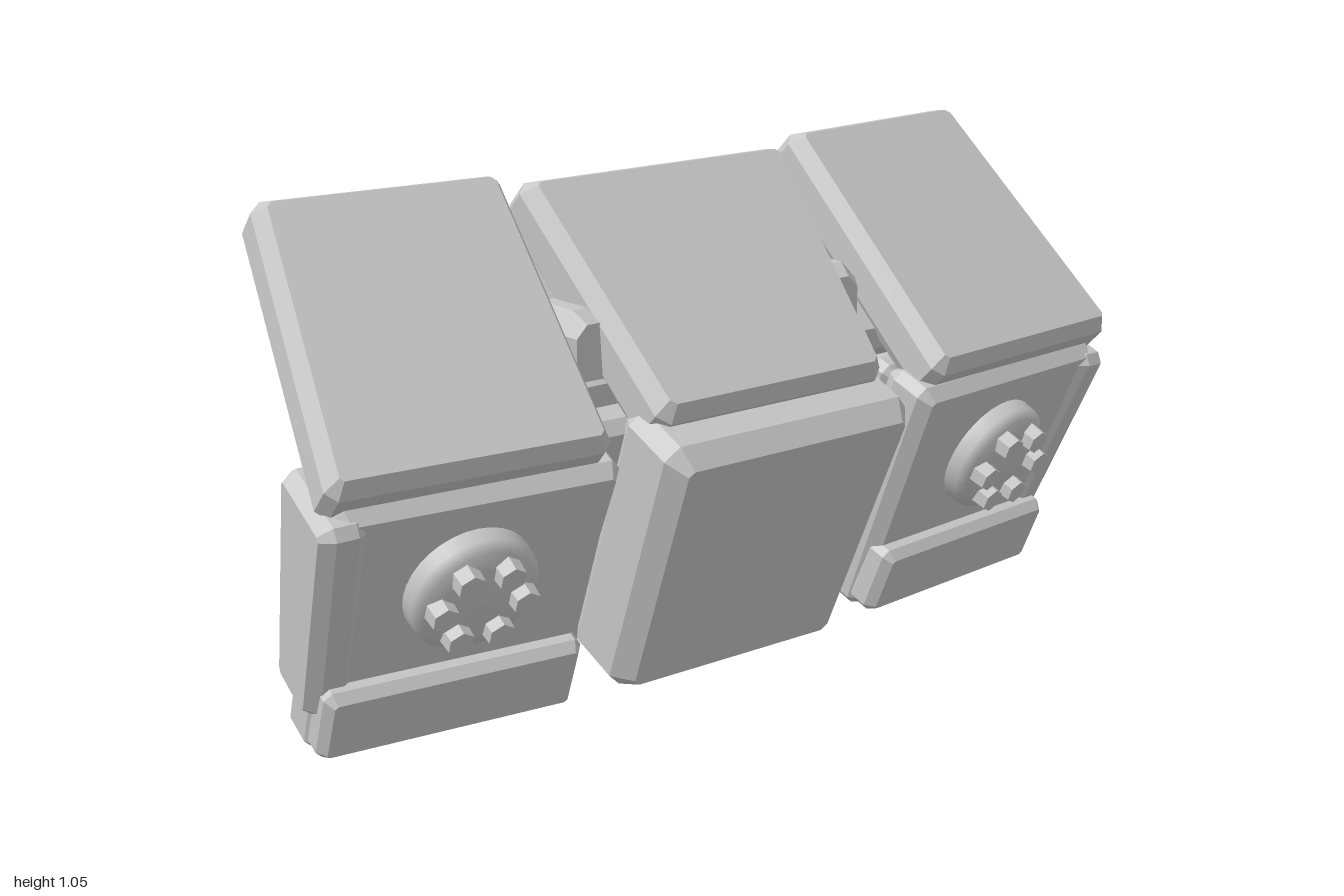
import * as THREE from 'three';

const grey = new THREE.MeshStandardMaterial({ color: 0xc6c6c6 });
grey.name = 'light grey';

const LEAN = 0.4;             // lower half leans forward
const FLAP_LEAN = -Math.PI / 4; // upper half leans backward

function add(parent, name, geometry) {
  const mesh = new THREE.Mesh(geometry, grey);
  mesh.name = name;
  parent.add(mesh);
  return mesh;
}

// Polygon with every corner cut off by c
function cutShape(points, c) {
  const v = points.map(([x, y]) => new THREE.Vector2(x, y));
  const out = [];
  v.forEach((p, i) => {
    for (const q of [v[(i + v.length - 1) % v.length], v[(i + 1) % v.length]]) {
      out.push(p.clone().add(q.clone().sub(p).setLength(c)));
    }
  });
  return new THREE.Shape(out);
}

// Chamfered slab: outline in x/y, running from z = lo to z = hi
function slab(points, lo, hi, bevel, cut = bevel * 0.7) {
  return new THREE.ExtrudeGeometry(cutShape(points, cut), {
    depth: hi - lo - 2 * bevel, bevelEnabled: true, bevelThickness: bevel,
    bevelSize: bevel * 0.7, bevelOffset: -bevel * 0.7, bevelSegments: 1,
  }).translate(0, 0, lo + bevel);
}

// Symmetric trapezoid outline
const trapezoid = (bottomHalf, topHalf, y0, y1) =>
  [[-bottomHalf, y0], [bottomHalf, y0], [topHalf, y1], [-topHalf, y1]];

// Outline given for the left side, mirrored for the right
const mirror = (points, s) => points.map(([x, y]) => [s * x, y]);

function sideBlock(s) {
  const g = new THREE.Group();
  g.name = s > 0 ? 'leftBlock' : 'rightBlock';
  g.position.x = s * 0.68;
  g.rotation.set(LEAN, s * 0.11, 0, 'YXZ');

  add(g, 'blockBody', slab(mirror([[-0.28, -0.008], [0.265, -0.008], [0.28, 0.59], [-0.315, 0.59]], s), -0.13, 0, 0.03));
  add(g, 'backPlate', slab(mirror([[-0.27, 0], [0.24, 0], [0.26, 0.57], [-0.3, 0.57]], s), -0.2, -0.12, 0.025));
  add(g, 'lowerBar', slab(mirror([[-0.285, 0.015], [0.265, 0.015], [0.265, 0.18], [-0.285, 0.18]], s), -0.04, 0.042, 0.022));

  // Tapered outer plate, extruded sideways
  const plate = slab([[-0.15, -0.24], [0.005, -0.24], [0.015, 0.24], [-0.2, 0.24]], -0.05, 0.05, 0.028);
  const outer = add(g, 'outerPlate', plate.rotateY(-Math.PI / 2).rotateZ(-s * 0.06));
  outer.position.set(s * 0.25, 0.335, 0);

  // Round hub with six hexagonal bolts
  const hub = new THREE.Group();
  hub.name = 'hub';
  hub.position.set(-s * 0.01, 0.376, 0.02);
  g.add(hub);
  const profile = [[0.135, -0.03], [0.132, 0.012], [0.115, 0.03], [0.08, 0.04], [0, 0.044]];
  add(hub, 'hubDisc', new THREE.LatheGeometry(profile.map(q => new THREE.Vector2(...q)), 32).rotateX(Math.PI / 2));
  for (let i = 0; i < 6; i++) {
    const t = i * Math.PI / 3;
    const bolt = add(hub, 'bolt', new THREE.CylinderGeometry(0.028, 0.031, 0.05, 6).toNonIndexed().rotateX(Math.PI / 2));
    bolt.geometry.computeVertexNormals();
    bolt.position.set(0.085 * Math.cos(t), 0.08 * Math.sin(t), 0.042);
  }

  // Half-sunk round studs on the back, upright while the block leans
  for (const y of [0.13, 0.47]) {
    const stud = add(g, 'backStud', new THREE.CylinderGeometry(0.07, 0.07, 0.05, 24).rotateX(Math.PI / 2 - LEAN));
    stud.position.set(s * 0.17, y, -0.178);
  }
  return g;
}

export function createModel() {
  const model = new THREE.Group();
  model.name = 'pouchBelt';

  // Lower half
  const lower = new THREE.Group();
  lower.name = 'lowerCentre';
  lower.rotation.x = LEAN;
  model.add(lower);
  add(lower, 'centreBlock', slab(trapezoid(0.29, 0.315, 0.012, 0.635), -0.13, 0.083, 0.045));
  add(lower, 'centreBackBlock', slab(trapezoid(0.41, 0.4, -0.005, 0.58), -0.278, -0.11, 0.028, 0.04));
  for (const s of [-1, 1]) model.add(sideBlock(s));

  // Upper half
  const upper = new THREE.Group();
  upper.name = 'upperCentre';
  upper.rotation.x = FLAP_LEAN;
  model.add(upper);
  add(upper, 'centreFlap', slab(trapezoid(0.29, 0.34, 0.26, 0.85), 0.48, 0.622, 0.035));
  add(upper, 'backPanel', slab(trapezoid(0.88, 0.84, 0.385, 0.865), 0.4, 0.51, 0.04, 0.06));
  for (const s of [-1, 1]) {
    const flap = add(model, s > 0 ? 'leftFlap' : 'rightFlap',
      slab(mirror([[-0.295, 0.25], [0.295, 0.25], [0.23, 0.895], [-0.295, 0.895]], s), 0.472, 0.604, 0.033));
    flap.position.x = s * 0.69;
    flap.rotation.set(FLAP_LEAN, s * 0.1, 0, 'YXZ');
  }

  // Hinge bar through the middle, with the web joining it to the lower half
  add(model, 'hingeBar', slab(trapezoid(0.39, 0.39, 0.59, 0.8), -0.165, 0.06, 0.035, 0.04));
  add(model, 'hingeWeb', slab(trapezoid(0.34, 0.34, 0.41, 0.66), -0.12, 0.03, 0.02));

  // Small boxes behind the side blocks
  for (const s of [-1, 1]) {
    const box = add(model, 'backBox', slab(trapezoid(0.19, 0.2, -0.09, 0.09), -0.09, 0.09, 0.03));
    box.position.set(s * 0.62, 0.485, -0.03);
    box.rotation.set(-0.07, s * 0.1, 0);
  }
  return model;
}
